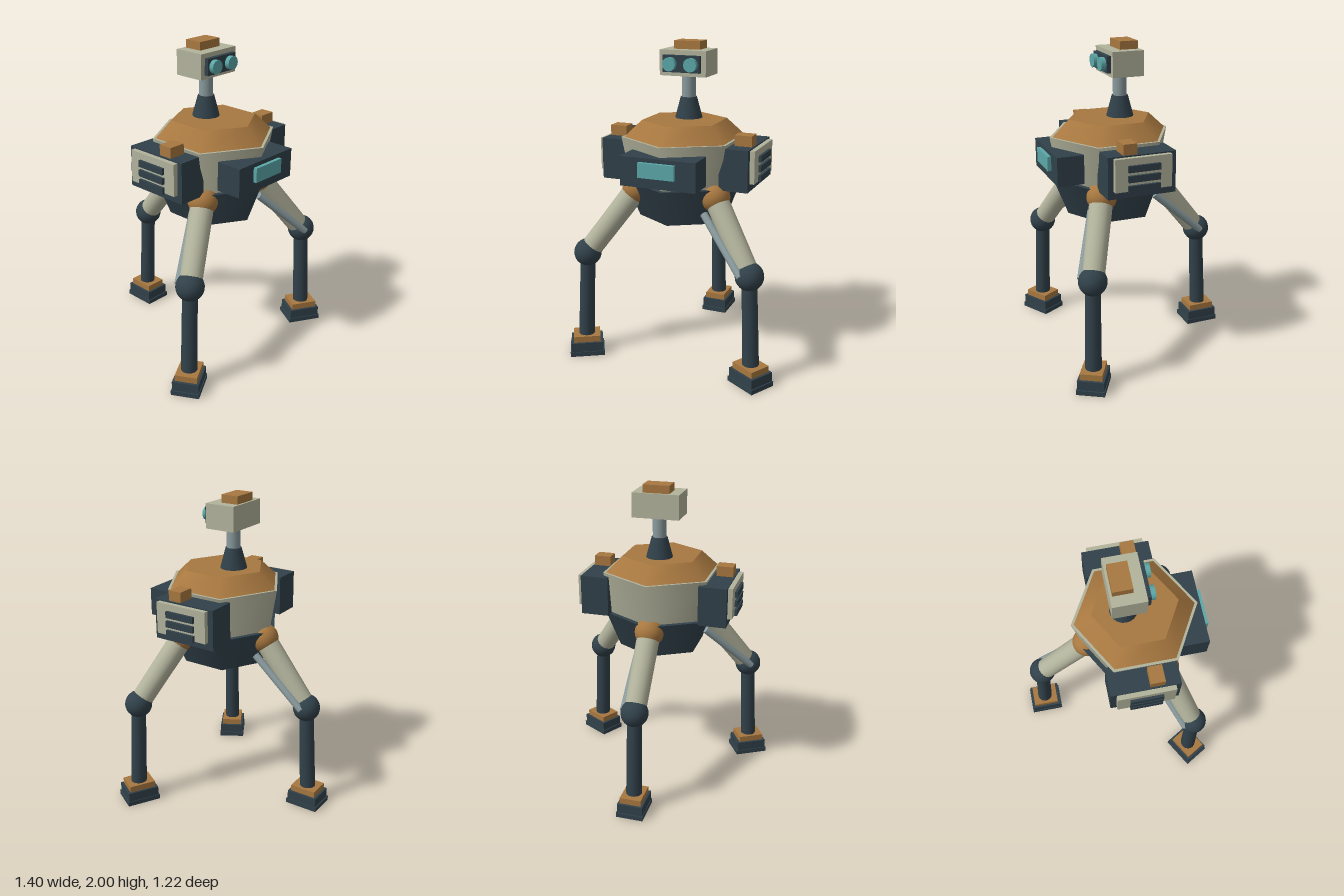
import * as THREE from 'three';

const mat = (name, color) => {
  const m = new THREE.MeshStandardMaterial({ color });
  m.name = name;
  return m;
};

export function createModel() {
  const dark = mat('dark slate', 0x31414a);
  const pale = mat('pale stone', 0xb2b39c);
  const ochre = mat('ochre', 0xa87840);
  const steel = mat('steel', 0x899a9d);
  const teal = mat('teal glass', 0x5ca8a9);

  const model = new THREE.Group();
  model.name = 'tripodRobot';
  const CZ = 0.15; // body axis in z

  const add = (parent, name, geo, material, x = 0, y = 0, z = 0) => {
    const mesh = new THREE.Mesh(geo, material);
    mesh.name = name;
    mesh.position.set(x, y, z);
    parent.add(mesh);
    return mesh;
  };

  // Box given by its min and max on each axis
  const box = (parent, name, material, [x0, x1], [y0, y1], [z0, z1]) =>
    add(parent, name, new THREE.BoxGeometry(x1 - x0, y1 - y0, z1 - z0), material,
      (x0 + x1) / 2, (y0 + y1) / 2, (z0 + z1) / 2);

  // Upright tapered column between two heights
  const column = (parent, name, material, rTop, rBottom, y0, y1, z, sides) =>
    add(parent, name, new THREE.CylinderGeometry(rTop, rBottom, y1 - y0, sides), material, 0, (y0 + y1) / 2, z);

  // Round rod from a to b
  const rod = (parent, name, material, a, b, rA, rB, sides = 20) => {
    const dir = b.clone().sub(a);
    const mesh = add(parent, name, new THREE.CylinderGeometry(rB, rA, dir.length(), sides), material);
    mesh.position.copy(a).add(b).multiplyScalar(0.5);
    mesh.quaternion.setFromUnitVectors(new THREE.Vector3(0, 1, 0), dir.normalize());
    return mesh;
  };

  // Six-sided body
  const body = new THREE.Group();
  body.name = 'body';
  model.add(body);
  column(body, 'lowerHull', dark, 0.374, 0.284, 0.925, 1.157, CZ, 6);
  column(body, 'upperHull', pale, 0.39, 0.34, 1.157, 1.43, CZ, 6);
  column(body, 'roof', ochre, 0.265, 0.372, 1.43, 1.53, CZ, 6);

  // Front console
  box(body, 'frontConsole', dark, [-0.24, 0.24], [1.19, 1.37], [0.4, 0.567]);
  box(body, 'frontScreen', teal, [-0.115, 0.115], [1.255, 1.345], [0.567, 0.59]);

  // Side pods with vented panels and beacons
  for (const s of [-1, 1]) {
    const pod = new THREE.Group();
    pod.name = s > 0 ? 'leftPod' : 'rightPod';
    model.add(pod);
    const span = (a, b) => (s > 0 ? [a, b] : [-b, -a]);
    box(pod, 'podCase', dark, span(0.295, 0.475), [1.155, 1.41], [-0.09, 0.337]);
    box(pod, 'podPanel', pale, span(0.475, 0.505), [1.203, 1.402], [-0.053, 0.303]);
    for (const y of [1.22, 1.28, 1.34])
      box(pod, 'ventSlat', dark, span(0.5, 0.522), [y - 0.02, y + 0.02], [0.025, 0.225]);
    box(pod, 'podBeacon', ochre, span(0.357, 0.465), [1.41, 1.475], [0.15, 0.238]);
  }

  // Neck and head
  const head = new THREE.Group();
  head.name = 'head';
  model.add(head);
  column(head, 'neckBase', dark, 0.05, 0.085, 1.53, 1.66, 0.08, 20);
  column(head, 'neck', steel, 0.043, 0.043, 1.66, 1.8, 0.08, 20);
  box(head, 'headCase', pale, [-0.15, 0.15], [1.795, 1.95], [-0.02, 0.18]);
  box(head, 'headCap', ochre, [-0.085, 0.085], [1.95, 2], [-0.006, 0.11]);
  box(head, 'facePlate', dark, [-0.12, 0.12], [1.82, 1.922], [0.18, 0.206]);
  for (const x of [-0.068, 0.068]) {
    const eye = add(head, 'eye', new THREE.CylinderGeometry(0.042, 0.042, 0.03, 12), teal, x, 1.87, 0.221);
    eye.rotation.x = Math.PI / 2;
  }

  // Three identical legs, each built pointing backwards then turned about the body axis
  const at = (r, y, x = 0) => new THREE.Vector3(x, y, -r);
  for (let i = 0; i < 3; i++) {
    const leg = new THREE.Group();
    leg.name = ['backLeg', 'frontRightLeg', 'frontLeftLeg'][i];
    leg.position.z = CZ;
    leg.rotation.y = (i * Math.PI * 2) / 3;
    model.add(leg);
    const hip = at(0.3, 1.1), knee = at(0.622, 0.69), ankle = at(0.65, 0.12);
    add(leg, 'hip', new THREE.SphereGeometry(0.093, 24, 16), ochre, hip.x, hip.y, hip.z);
    rod(leg, 'thigh', pale, hip, knee, 0.073, 0.068);
    rod(leg, 'piston', steel, at(0.28, 1.0, 0.07), at(0.62, 0.7, 0.07), 0.024, 0.024, 14);
    add(leg, 'knee', new THREE.SphereGeometry(0.087, 24, 16), dark, knee.x, knee.y, knee.z);
    rod(leg, 'shin', dark, knee, ankle, 0.046, 0.051);
    // Stepped foot
    box(leg, 'ankleBlock', ochre, [-0.069, 0.069], [0.09, 0.13], [-0.736, -0.564]);
    box(leg, 'foot', dark, [-0.083, 0.083], [0.03, 0.09], [-0.752, -0.548]);
    box(leg, 'sole', dark, [-0.088, 0.088], [0, 0.03], [-0.76, -0.54]);
  }
  return model;
}
